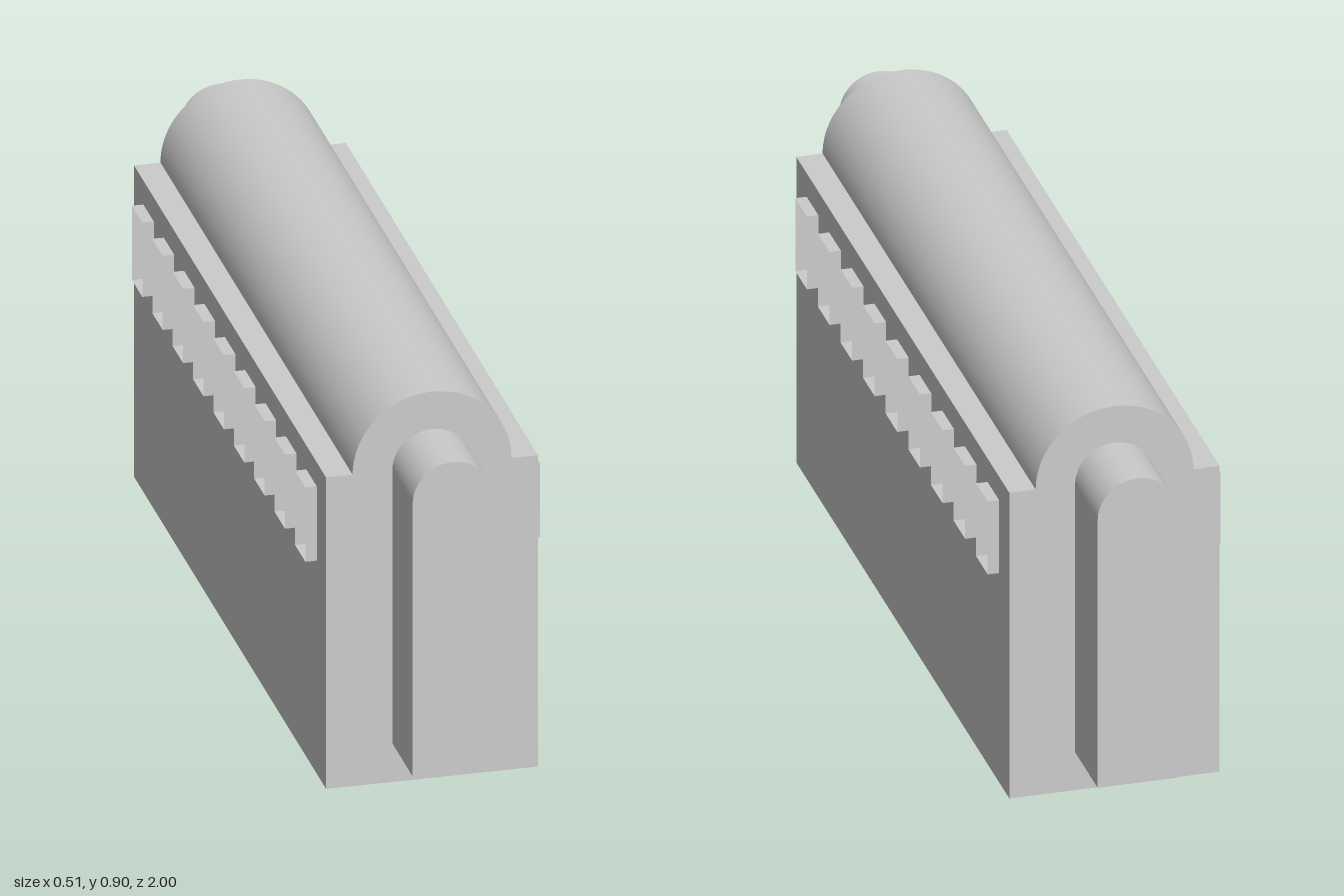
import * as THREE from 'three';

const HALF_W = 0.232, HALF_L = 0.825, SPRING = 0.726, VAULT_R = 0.174;
const CORE_R = 0.087, CORE_BASE = 0.09;
const WIN = { y0: 0.497, y1: 0.67, width: 0.09, count: 9, step: 0.175, outer: 0.257 };

export function createModel() {
  const group = new THREE.Group();
  const solid = new THREE.MeshStandardMaterial({ color: 0xcccccc });
  const sheet = new THREE.MeshStandardMaterial({ color: 0xcccccc, side: THREE.DoubleSide });

  const add = (name, geometry, material, x = 0, y = 0, z = 0) => {
    const mesh = new THREE.Mesh(geometry, material);
    mesh.name = name;
    mesh.position.set(x, y, z);
    group.add(mesh);
    return mesh;
  };

  const windowZ = Array.from({ length: WIN.count }, (_, i) => (i - (WIN.count - 1) / 2) * WIN.step);

  // End walls: block outline topped by the vault arch
  const endShape = new THREE.Shape();
  endShape.moveTo(-HALF_W, 0).lineTo(HALF_W, 0).lineTo(HALF_W, SPRING).lineTo(VAULT_R, SPRING);
  endShape.absarc(0, SPRING, VAULT_R, 0, Math.PI, false);
  endShape.lineTo(-HALF_W, SPRING);
  const endGeometry = new THREE.ShapeGeometry(endShape, 32);
  add('frontWall', endGeometry, sheet, 0, 0, HALF_L);
  add('backWall', endGeometry, sheet, 0, 0, -HALF_L).rotation.y = Math.PI;

  // Side walls with a row of window openings
  const sideShape = new THREE.Shape();
  sideShape.moveTo(-HALF_L, 0).lineTo(HALF_L, 0).lineTo(HALF_L, SPRING).lineTo(-HALF_L, SPRING);
  for (const z of windowZ) {
    const hole = new THREE.Path(), h = WIN.width / 2;
    hole.moveTo(z - h, WIN.y0).lineTo(z - h, WIN.y1).lineTo(z + h, WIN.y1).lineTo(z + h, WIN.y0);
    sideShape.holes.push(hole);
  }
  const sideGeometry = new THREE.ShapeGeometry(sideShape);

  // Window linings: open-ended sleeves that stand proud of the wall and run in to the core
  const depth = WIN.outer - CORE_R;
  const sleeve = new THREE.BoxGeometry(depth, WIN.y1 - WIN.y0, WIN.width);
  sleeve.setIndex(Array.from(sleeve.index.array).slice(12)); // drop the two x faces

  const ledgeWidth = HALF_W - VAULT_R;
  for (const s of [1, -1]) {
    const side = s > 0 ? 'left' : 'right';
    add(side + 'Wall', sideGeometry, sheet, s * HALF_W).rotation.y = s * Math.PI / 2;
    add(side + 'Ledge', new THREE.PlaneGeometry(ledgeWidth, 2 * HALF_L), sheet,
      s * (VAULT_R + ledgeWidth / 2), SPRING).rotation.x = -Math.PI / 2;
    for (const z of windowZ) {
      add(side + 'WindowFrame', sleeve, sheet, s * (CORE_R + depth / 2), (WIN.y0 + WIN.y1) / 2, z);
    }
  }

  // Floor
  add('floor', new THREE.PlaneGeometry(2 * HALF_W, 2 * HALF_L), sheet).rotation.x = Math.PI / 2;

  // Barrel vault roof
  const vault = new THREE.CylinderGeometry(VAULT_R, VAULT_R, 2 * HALF_L, 64, 1, true, Math.PI / 2, Math.PI);
  vault.rotateX(Math.PI / 2);
  add('vaultRoof', vault, sheet, 0, SPRING);

  // Arched core running the full length and projecting at both ends
  const coreShape = new THREE.Shape();
  coreShape.moveTo(-CORE_R, CORE_BASE).lineTo(CORE_R, CORE_BASE).lineTo(CORE_R, SPRING);
  coreShape.absarc(0, SPRING, CORE_R, 0, Math.PI, false);
  const core = new THREE.ExtrudeGeometry(coreShape, { depth: 2, bevelEnabled: false, curveSegments: 40 });
  smoothArch(core);
  add('archedCore', core, solid, 0, 0, -1);

  return group;
}

// Give the round top of the core smooth radial normals
function smoothArch(geometry) {
  const p = geometry.attributes.position, n = geometry.attributes.normal;
  for (let i = 0; i < p.count; i++) {
    if (Math.abs(n.getZ(i)) > 0.5 || n.getY(i) < 0.01) continue;
    const v = new THREE.Vector3(p.getX(i), p.getY(i) - SPRING, 0).normalize();
    n.setXYZ(i, v.x, v.y, 0);
  }
}
